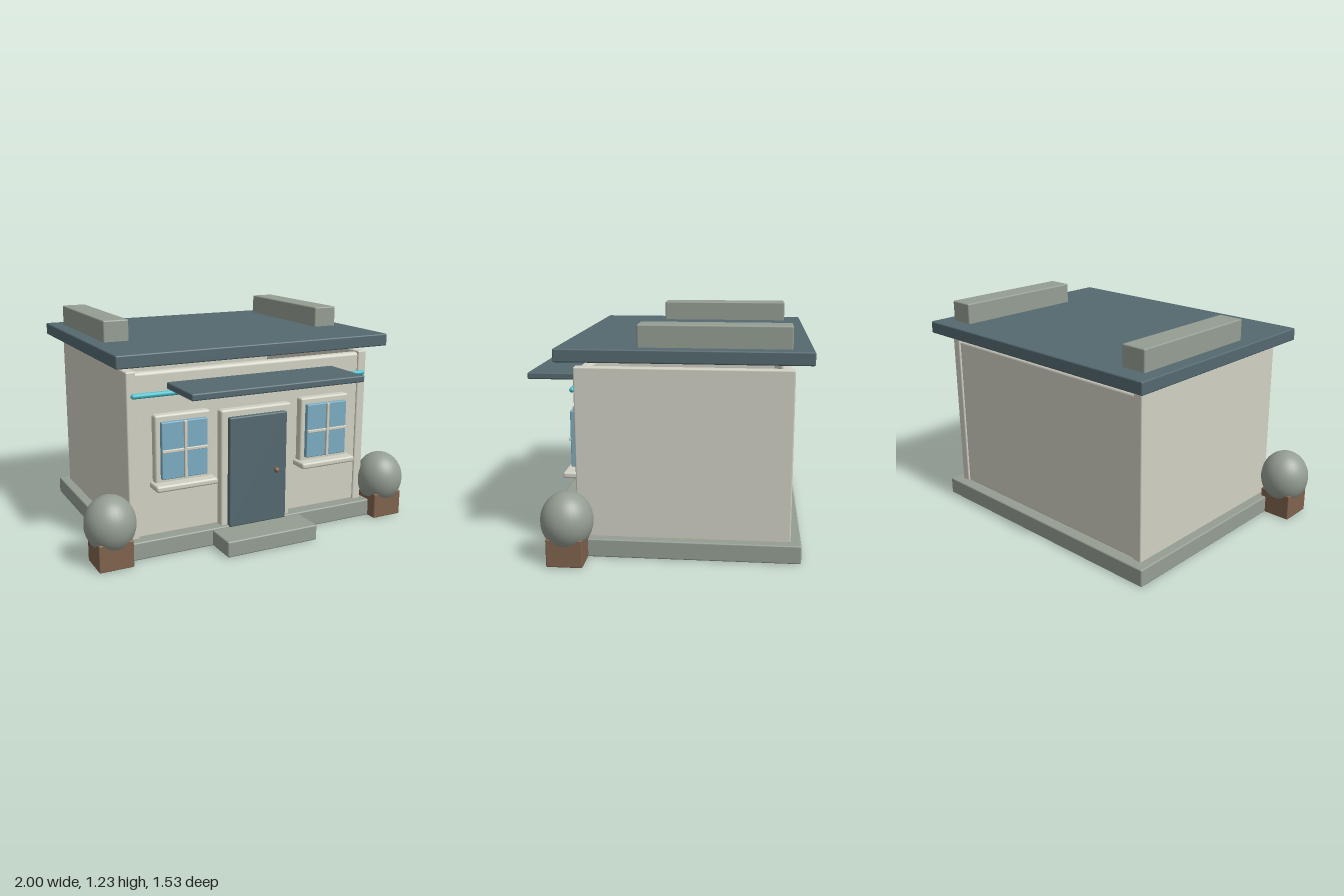
import * as THREE from 'three';
import { RoundedBoxGeometry } from 'three/addons/geometries/RoundedBoxGeometry.js';

function paint(name, color) {
  const m = new THREE.MeshStandardMaterial({ color });
  m.name = name;
  return m;
}

export function createModel() {
  const house = new THREE.Group();
  house.name = 'house';

  const cream = paint('cream', 0xd2d1c4);
  const slate = paint('slate', 0x546970);
  const stone = paint('stone', 0x959e93);
  const glass = paint('glass', 0x7badc2);
  const teal = paint('teal', 0x42bec8);
  const brown = paint('brown', 0x80634e);

  function add(name, geometry, material, parent = house) {
    const mesh = new THREE.Mesh(geometry, material);
    mesh.name = name;
    parent.add(mesh);
    return mesh;
  }

  // Softly rounded box given by its extents on each axis
  function box(name, material, [x0, x1], [y0, y1], [z0, z1], radius = 0.008, parent = house) {
    const size = [x1 - x0, y1 - y0, z1 - z0];
    const r = Math.min(radius, Math.min(...size) * 0.45);
    const mesh = add(name, new RoundedBoxGeometry(...size, 2, r), material, parent);
    mesh.position.set((x0 + x1) / 2, (y0 + y1) / 2, (z0 + z1) / 2);
    return mesh;
  }

  // Foundation and door step
  box('foundation', stone, [-0.8, 0.8], [0, 0.1], [-0.73, 0.515]);
  box('doorStep', stone, [-0.28, 0.28], [0, 0.09], [0.45, 0.7]);

  // Front and back walls sit slightly inside the side walls
  box('frontWall', cream, [-0.72, 0.72], [0.09, 1.0], [0.39, 0.45], 0.018);
  box('backWall', cream, [-0.72, 0.72], [0.09, 1.0], [-0.665, -0.605], 0.018);

  // Roof slab
  box('roof', slate, [-0.825, 0.825], [1.045, 1.115], [-0.765, 0.545]);

  // Door with surround and knob
  box('doorFrame', cream, [-0.22, 0.22], [0.09, 0.76], [0.43, 0.495], 0.012);
  box('door', slate, [-0.18, 0.18], [0.09, 0.72], [0.46, 0.52]);
  add('doorKnob', new THREE.SphereGeometry(0.016, 16, 12), brown).position.set(0.11, 0.39, 0.532);

  // Awning and the bright rail below it
  box('awning', slate, [-0.515, 0.515], [0.9, 0.937], [0.44, 0.765]);
  const rail = add('rail', new THREE.CapsuleGeometry(0.014, 1.422, 6, 16), teal);
  rail.rotation.z = Math.PI / 2;
  rail.position.set(0, 0.884, 0.474);

  // Parts repeated on both sides
  for (const side of [-1, 1]) {
    const label = side > 0 ? 'left' : 'right';
    const span = (a, b) => (side > 0 ? [a, b] : [-b, -a]);

    box(label + 'Wall', cream, span(0.69, 0.745), [0.09, 1.01], [-0.675, 0.46]);
    box(label + 'Parapet', stone, span(0.6, 0.745), [1.1, 1.232], [-0.658, 0.128]);

    // Window
    const win = new THREE.Group();
    win.name = label + 'Window';
    win.position.x = 0.445 * side;
    house.add(win);
    box('windowFrame', cream, [-0.16, 0.16], [0.38, 0.775], [0.43, 0.495], 0.012, win);
    box('windowGlass', glass, [-0.132, 0.132], [0.428, 0.74], [0.48, 0.52], 0.005, win);
    box('verticalBar', cream, [-0.008, 0.008], [0.428, 0.74], [0.51, 0.534], 0.003, win);
    box('horizontalBar', cream, [-0.132, 0.132], [0.576, 0.592], [0.51, 0.53], 0.003, win);
    box('windowSill', cream, [-0.178, 0.178], [0.373, 0.408], [0.44, 0.557], 0.012, win);

    // Planter with a clipped round shrub
    const planter = new THREE.Group();
    planter.name = label + 'Planter';
    planter.position.set(0.862 * side, 0, 0.485);
    house.add(planter);
    box('planterBox', brown, [-0.095, 0.095], [0, 0.15], [-0.095, 0.095], 0.006, planter);
    const shrub = add('shrub', new THREE.SphereGeometry(0.138, 32, 24), stone, planter);
    shrub.scale.y = 1.12;
    shrub.position.y = 0.226;
  }

  return house;
}
